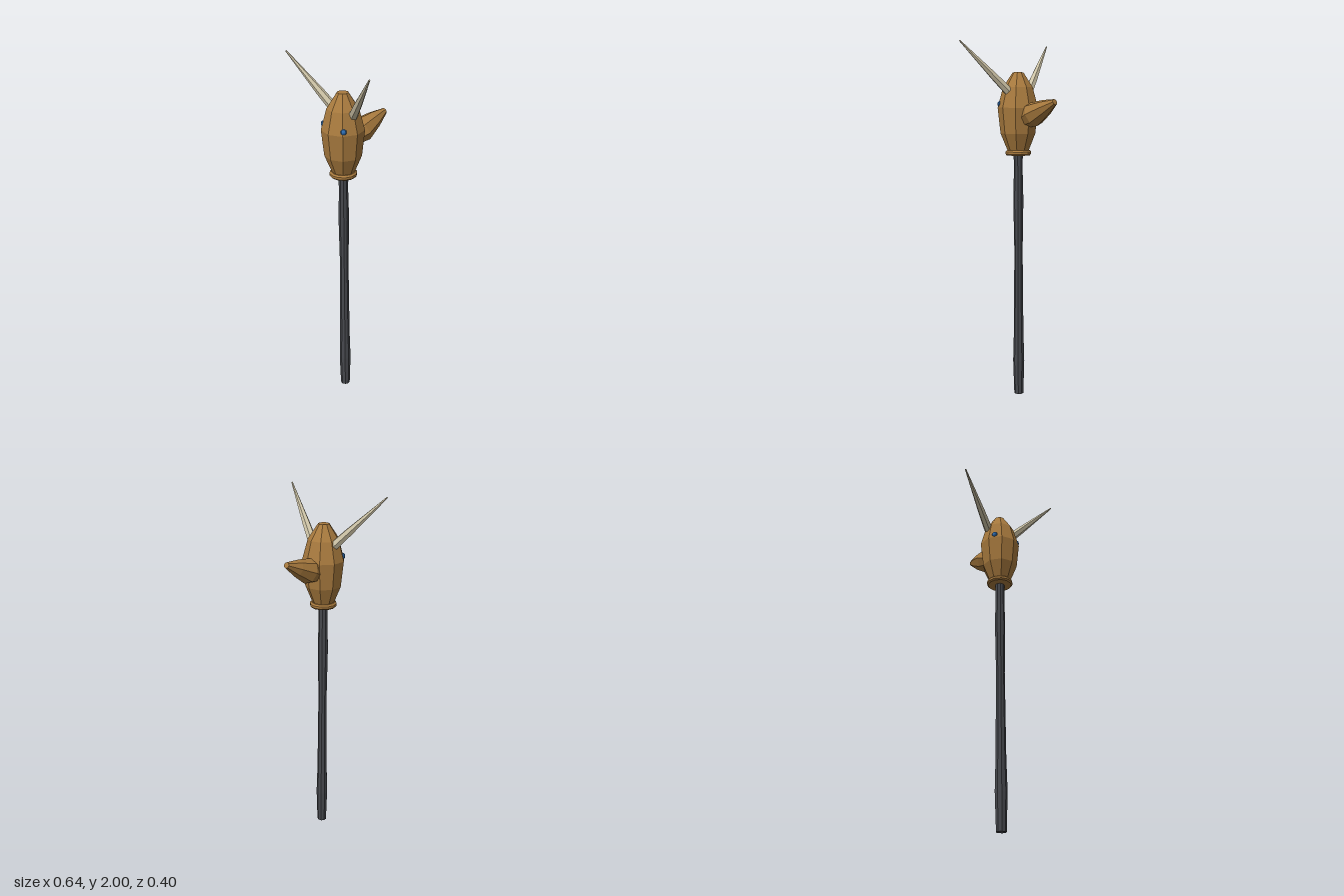
import * as THREE from 'three';

const Z = 0.09; // the shaft and head stand forward of centre

function material(color) {
  const m = new THREE.MeshStandardMaterial({ flatShading: true });
  m.color.set(color);
  return m;
}

// Faceted solid of revolution; profile is [radius, height] from bottom to top
function turned(name, profile, sides, mat, phase = Math.PI / 2) {
  const points = profile.map(([r, y]) => new THREE.Vector2(r, y));
  const mesh = new THREE.Mesh(new THREE.LatheGeometry(points, sides, phase), mat);
  mesh.name = name;
  return mesh;
}

// Place a turned part so its axis runs from one point toward another
function aim(mesh, from, to) {
  mesh.position.copy(from);
  mesh.quaternion.setFromUnitVectors(new THREE.Vector3(0, 1, 0), to.clone().sub(from).normalize());
  return mesh;
}

export function createModel() {
  const group = new THREE.Group();
  const wood = material(0xa87a3e);
  const bone = material(0xcdc3a6);
  const dark = material(0x46484d);
  const blue = material(0x2f6fb5);

  // Slightly uneven shaft with a thicker grip
  const shaft = turned('shaft', [
    [0, 0], [0.027, 0], [0.033, 0.2], [0.028, 0.38], [0.026, 0.62],
    [0.024, 0.85], [0.029, 1.14], [0.025, 1.3], [0.026, 1.41], [0, 1.41],
  ], 9, dark);
  shaft.position.z = Z;

  // Ring under the head
  const collar = turned('collar', [
    [0, 1.39], [0.066, 1.39], [0.073, 1.398], [0.073, 1.41], [0.064, 1.418], [0, 1.418],
  ], 12, wood);
  collar.position.z = Z;

  // Barrel-shaped head
  const head = turned('head', [
    [0, 1.41], [0.058, 1.412], [0.098, 1.51], [0.113, 1.65],
    [0.083, 1.76], [0.03, 1.84], [0, 1.84],
  ], 9, wood);
  head.position.z = Z;

  // Tapered spike rising from the back of the head
  const spikeBase = new THREE.Vector3(0, 1.592, 0.02);
  const spikeTip = new THREE.Vector3(0, 1.68, -0.194);
  const L = spikeBase.distanceTo(spikeTip);
  const spike = aim(turned('backSpike', [
    [0, 0], [0.05, 0], [0.067, 0.06], [0.045, 0.15], [0.016, L], [0, L],
  ], 8, wood), spikeBase, spikeTip);

  group.add(shaft, collar, head, spike);

  // Horns and eyes, mirrored
  for (const [side, s] of [['left', 1], ['right', -1]]) {
    const base = new THREE.Vector3(s * 0.075, 1.738, 0.086);
    const tip = new THREE.Vector3(s * 0.318, 1.998, 0.195);
    const len = base.distanceTo(tip);
    const horn = turned(side + 'Horn', [
      [0, 0], [0.025, 0], [0.021, len * 0.3], [0.004, len], [0, len],
    ], 6, bone);
    group.add(aim(horn, base, tip));

    const eye = new THREE.Mesh(new THREE.SphereGeometry(0.016, 8, 6), blue);
    eye.name = side + 'Eye';
    eye.position.set(s * 0.081, 1.67, 0.153);
    eye.rotation.y = s * 0.9;
    eye.scale.z = 0.7;
    group.add(eye);
  }
  return group;
}
